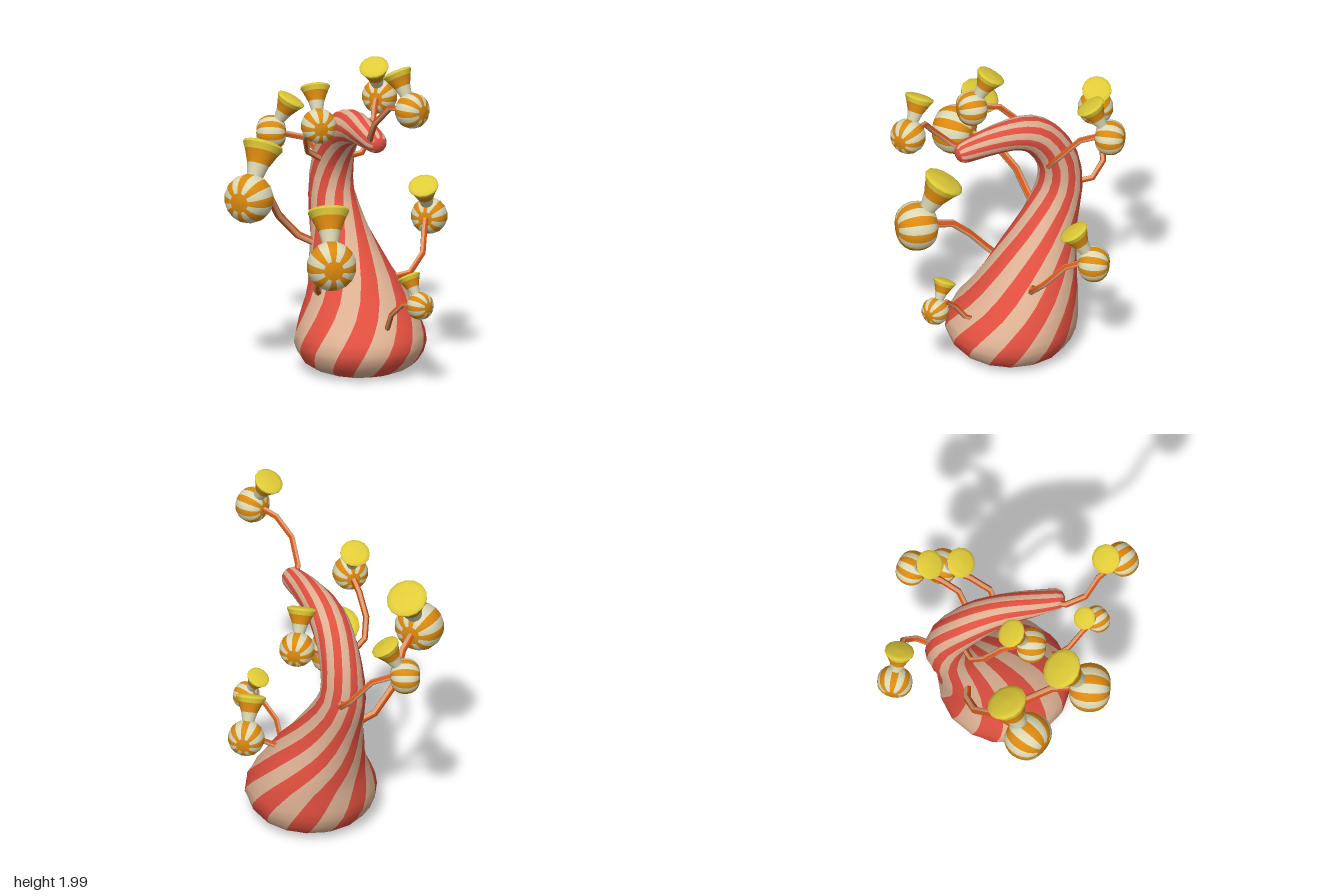
import * as THREE from 'three';

const paint = (name, color) => Object.assign(new THREE.MeshStandardMaterial({ color }), { name });
const red = paint('trunk red', 0xe25040);
const tan = paint('trunk tan', 0xdfb294);
const orange = paint('bulb orange', 0xdc8a10);
const cream = paint('bulb cream', 0xdbd9b6);
const yellow = paint('horn yellow', 0xe0cb38);
const vineTan = paint('vine tan', 0xe0a078);
const vineOrange = paint('vine orange', 0xdc5818);
const UP = new THREE.Vector3(0, 1, 0);
const vec = (x, y, z) => new THREE.Vector3(x, y, z);

// Sweeps round cross-sections along centres; pick(ring, column) chooses each strip's material,
// level(centre) from 0 to 1 turns a ring from square-to-path to horizontal
function sweep(name, centres, radii, sides, mats, pick, { twist = 0, phase = 0, level = () => 0 } = {}) {
  const n = centres.length, pos = [], faces = mats.map(() => []);
  let u = null, length = 0;
  for (let i = 0; i < n; i++) {
    const t = centres[Math.min(i + 1, n - 1)].clone().sub(centres[Math.max(i - 1, 0)]).normalize();
    t.lerp(UP, level(centres[i])).normalize();
    if (!u) u = Math.abs(t.y) > 0.9 ? vec(0, 0, 1) : UP.clone();
    u.addScaledVector(t, -u.dot(t)).normalize();
    const w = t.clone().cross(u);
    if (i) length += centres[i].distanceTo(centres[i - 1]);
    for (let j = 0; j < sides; j++) {
      const a = phase + twist * length + (j / sides) * Math.PI * 2;
      const p = centres[i].clone()
        .addScaledVector(u, Math.cos(a) * radii[i])
        .addScaledVector(w, Math.sin(a) * radii[i]);
      pos.push(p.x, p.y, p.z);
      if (i === n - 1) continue;
      const k = i * sides, j2 = (j + 1) % sides;
      const A = k + j, B = k + j2, C = A + sides, D = B + sides;
      const out = faces[pick(i, j)];
      if (radii[i] > 0) out.push(A, B, D);
      if (radii[i + 1] > 0) out.push(A, D, C);
    }
  }
  const geo = new THREE.BufferGeometry();
  geo.setAttribute('position', new THREE.Float32BufferAttribute(pos, 3));
  geo.setIndex(faces.flat());
  let start = 0;
  faces.forEach((f, m) => { geo.addGroup(start, f.length, m); start += f.length; });
  geo.computeVertexNormals();
  const mesh = new THREE.Mesh(geo, mats);
  mesh.name = name;
  return mesh;
}

// Trunk: heavy base, leaning back and arching forward to a rounded tip (x, y, z, radius)
const TRUNK = [
  [0.085, 0, -0.012, 0], [0.085, 0.002, -0.012, 0.14], [0.085, 0.006, -0.012, 0.23],
  [0.085, 0.06, -0.012, 0.335], [0.085, 0.17, -0.014, 0.39], [0.073, 0.29, -0.045, 0.362],
  [0.038, 0.43, -0.1, 0.302], [-0.04, 0.61, -0.155, 0.228], [-0.11, 0.8, -0.212, 0.168],
  [-0.166, 1.0, -0.258, 0.137], [-0.153, 1.19, -0.248, 0.124], [-0.1, 1.34, -0.18, 0.118],
  [-0.03, 1.43, -0.1, 0.109], [0.06, 1.464, 0.0, 0.094], [0.16, 1.461, 0.12, 0.081],
  [0.25, 1.447, 0.225, 0.066], [0.275, 1.443, 0.254, 0.053], [0.288, 1.441, 0.269, 0.032],
  [0.292, 1.44, 0.274, 0],
];

function makeTrunk() {
  const path = new THREE.CatmullRomCurve3(TRUNK.map(([x, y, z]) => vec(x, y, z)), false, 'catmullrom');
  const size = new THREE.CatmullRomCurve3(TRUNK.map(r => vec(r[3], 0, 0)), false, 'catmullrom');
  const steps = (TRUNK.length - 1) * 2, centres = [], radii = [];
  for (let i = 0; i <= steps; i++) {
    centres.push(path.getPoint(i / steps));
    radii.push(i % steps ? Math.max(size.getPoint(i / steps).x, 0) : 0);
  }
  // solid red underside and tip, candy stripes between; rings stay level through the base
  const pick = (i, j) => (i < 4 || i > steps - 4 ? 0 : (j + 1) % 2);
  const level = p => THREE.MathUtils.clamp((0.85 - p.y) / 0.5, 0, 1);
  return sweep('trunk', centres, radii, 16, [red, tan], pick, { twist: 1.45, phase: -0.69, level });
}

// Flowers: bulb centre, bulb radius, horizontal facing (x, z), vine bends
const FLOWERS = [
  { c: [-0.575, 1.28, -0.4], r: 0.105, a: [-0.97, 0.24], vine: [[-0.18, 1.01, -0.34], [-0.2, 1.04, -0.45], [-0.27, 1.12, -0.5], [-0.39, 1.25, -0.465]] },
  { c: [0.03, 1.5, -0.595], r: 0.105, a: [0, -1], vine: [[-0.07, 1.22, -0.21], [0.03, 1.25, -0.23], [0.07, 1.36, -0.31], [0.05, 1.47, -0.42]] },
  { c: [0.345, 0.81, -0.555], r: 0.108, a: [0, -1], vine: [[0.18, 0.51, -0.17], [0.34, 0.56, -0.18], [0.39, 0.66, -0.27], [0.365, 0.78, -0.39]] },
  { c: [-0.465, 1.1, 0.42], r: 0.146, a: [-0.23, 0.97], vine: [[-0.2, 0.71, -0.11], [-0.31, 0.77, -0.06], [-0.4, 0.91, 0.04], [-0.42, 1.07, 0.18]] },
  { c: [-0.09, 1.525, 0.25], r: 0.105, a: [0.45, 0.89], vine: [[-0.19, 1.22, -0.14], [-0.25, 1.28, -0.06], [-0.24, 1.38, 0.02], [-0.18, 1.49, 0.1]] },
  { c: [0.078, 0.765, 0.548], r: 0.147, a: [0.39, 0.92], vine: [[-0.13, 0.47, 0.1], [-0.13, 0.52, 0.17], [-0.08, 0.64, 0.26], [-0.02, 0.74, 0.35]] },
  { c: [0.56, 0.51, 0.35], r: 0.082, a: [0.89, 0.45], vine: [[0.3, 0.3, 0.16], [0.32, 0.325, 0.215], [0.36, 0.42, 0.27], [0.44, 0.5, 0.305]] },
  { c: [0.56, 1.735, 0.512], r: 0.106, a: [0.91, 0.41], vine: [[0.235, 1.45, 0.22], [0.24, 1.49, 0.31], [0.3, 1.61, 0.41], [0.4, 1.72, 0.44]] },
];

function makeFlower({ c, r, a, vine }) {
  const group = new THREE.Group();
  group.name = 'flower';
  const centre = vec(...c), axis = vec(a[0], 0, a[1]).normalize();
  const horn = UP.clone().multiplyScalar(0.87).addScaledVector(axis, -0.5);
  const along = (dir, list) => list.map(h => centre.clone().addScaledVector(dir, h * r));
  const scaled = list => list.map(v => v * r);

  // Kinked two-tone vine ending in the back of the bulb
  const bends = vine.map(p => vec(...p)).concat(centre.clone().addScaledVector(axis, -0.65 * r));
  group.add(sweep('vine', bends, bends.map(() => 0.007 + 0.11 * r), 6, [vineTan, vineOrange], (i, j) => j % 2));

  // Squashed, barrel-like bulb with eight pairs of stripes
  const turns = Array.from({ length: 13 }, (_, i) => (i / 12 - 0.5) * Math.PI);
  const widths = turns.map((t, i) => (i % 12 ? Math.pow(Math.cos(t), 0.68) : 0));
  group.add(sweep('bulb', along(axis, turns.map(t => 0.83 * Math.sin(t))), scaled(widths), 16,
    [orange, cream], (i, j) => (i === 0 || i === 11 ? 0 : j % 2), { phase: -Math.PI / 16 }));

  // Banded horn flaring upward, closed by a rounded, domed lid
  group.add(sweep('horn', along(horn, [0.8, 1.42, 1.95, 2.2]), scaled([0.3, 0.45, 0.69, 0.83]), 14,
    [cream, orange, yellow], i => i));
  group.add(sweep('hornLid', along(horn, [2.2, 2.29, 2.36, 2.4]), scaled([0.83, 0.82, 0.62, 0]), 14,
    [yellow], () => 0));
  return group;
}

export function createModel() {
  const model = new THREE.Group();
  model.name = 'candyPlant';
  model.add(makeTrunk(), ...FLOWERS.map(makeFlower));
  return model;
}
